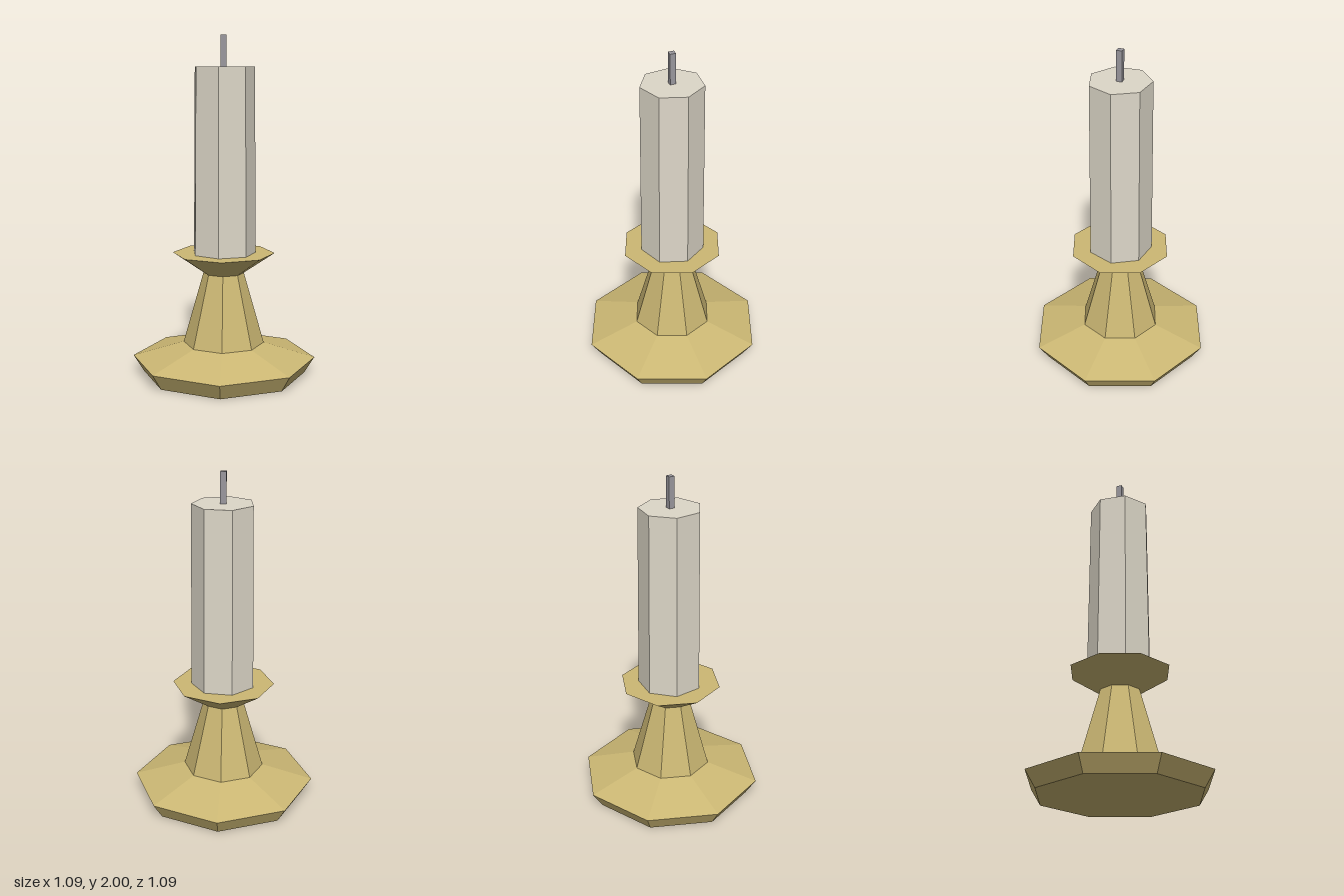
import * as THREE from 'three';

function flatMaterial(name, color) {
  const material = new THREE.MeshStandardMaterial({ color, flatShading: true });
  material.name = name;
  return material;
}

export function createModel() {
  const model = new THREE.Group();
  model.name = 'candlestick';
  const brass = flatMaterial('brass', 0xccb874);
  const wax = flatMaterial('wax', 0xddd7c8);
  const charred = flatMaterial('charred wick', 0x9a989e);

  // Faceted, tapered section between two heights, with one corner on +x
  function section(name, material, sides, y0, r0, y1, r1, open = false) {
    const geometry = new THREE.CylinderGeometry(r1, r0, y1 - y0, sides, 1, open, Math.PI / 2);
    const mesh = new THREE.Mesh(geometry, material);
    mesh.name = name;
    mesh.position.y = (y0 + y1) / 2;
    model.add(mesh);
  }

  // Holder: flared foot, sloping shoulder, tapered stem and drip pan
  section('foot', brass, 8, 0, 0.485, 0.095, 0.545);
  section('shoulder', brass, 8, 0.095, 0.545, 0.185, 0.24, true);
  section('stem', brass, 8, 0.185, 0.24, 0.61, 0.12, true);
  section('dripPan', brass, 8, 0.61, 0.12, 0.73, 0.302);

  // Seven-sided candle with a square wick
  section('candle', wax, 7, 0.73, 0.191, 1.82, 0.181);
  section('wick', charred, 4, 1.82, 0.024, 2, 0.024);

  return model;
}
